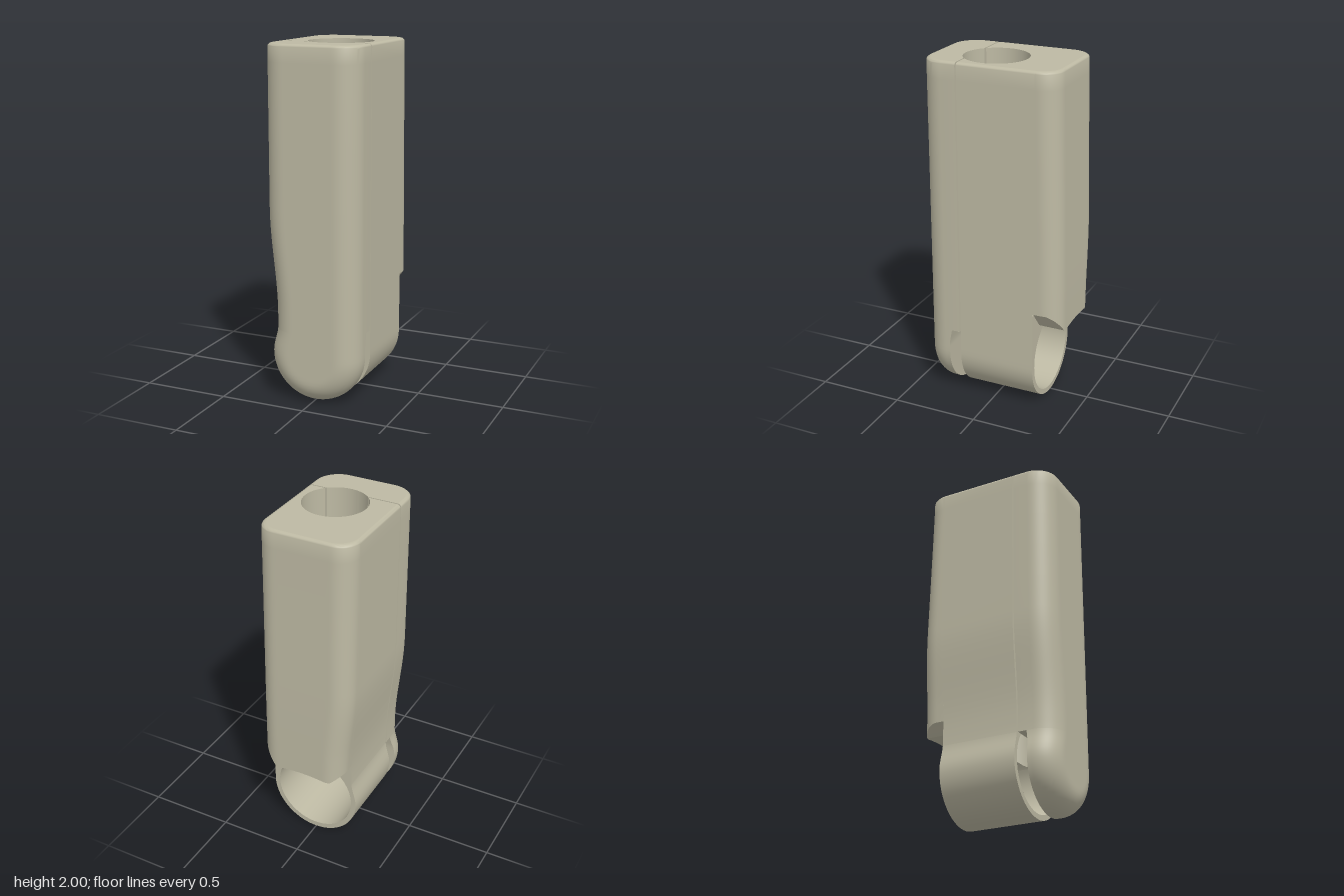
import * as THREE from 'three';
import { toCreasedNormals } from 'three/addons/utils/BufferGeometryUtils.js';

const CX = 0.005, CY = 0.27, R_OUT = 0.27, R_IN = 0.24;   // cross tube at the foot
const BX = 0.04, BZ = 0.06, BR = 0.183;                   // vertical bore
const FRONT = 0.415, SEAM_F = 0.195, SEAM_B = 0.187, STEP = -0.265;
const { lerp, smoothstep, clamp } = THREE.MathUtils;

// Small rounding along the top edge
const inset = y => y > 1.98 ? 0.02 - Math.sqrt(Math.max(0, 0.0004 - (y - 1.98) ** 2)) : 0;
const chord = y => Math.sqrt(Math.max(0, R_OUT ** 2 - (y - CY) ** 2));
// Side silhouettes
const xR = y => y < CY ? CX + chord(y) : 0.275 - inset(y);
const xL = y => y < CY ? CX - chord(y)
  : -0.265 + 0.029 * smoothstep(y, CY, 0.42) - 0.044 * smoothstep(y, 0.5, 1.1) + inset(y);
// Rounded drop towards the silhouette
function drop(x, y, r) {
  const d = y < CY ? R_OUT - Math.hypot(x - CX, y - CY) : Math.min(x - xL(y), xR(y) - x);
  const k = 1 - clamp(d / r, 0, 1);
  return r * (1 - Math.sqrt(1 - k * k));
}
const zFront = (x, y) => FRONT - inset(y) - drop(x, y, 0.13);
const zBack = (x, y) => lerp(-0.418, -0.385, smoothstep(y, 0.4, 2.4) * 1.12) + inset(y) + drop(x, y, 0.11);
// Inner edge of the front shell, cut back around the foot
const zInner = y => y > 0.41 ? SEAM_F : y > 0.33 ? lerp(0.26, 0.245, (y - 0.33) / 0.08) : 0.26;
// Lower edge of the rear overhang
const yUnder = x => 0.5 + (x > 0 ? 0.12 : 0.08) * clamp((Math.abs(x) - 0.17) / 0.1, 0, 1)
  + 0.015 * Math.max(0, 1 - (x / 0.17) ** 2);

// Heights of the loft sections
const rows = [];
for (let i = 0; i <= 16; i++) rows.push(CY * (1 - Math.cos(i / 16 * Math.PI / 2)));
rows.push(0.3, 0.33, 0.36, 0.385, 0.41, 0.4101);
for (let i = 1; i <= 14; i++) rows.push(0.41 + i * 0.05);
rows.push(1.3, 1.5, 1.7, 1.9);
for (let i = 0; i <= 6; i++) rows.push(1.98 + 0.02 * Math.sin(i / 6 * Math.PI / 2));

function grid(nu, nv, f) {
  const pos = [], idx = [];
  for (let j = 0; j <= nv; j++) for (let i = 0; i <= nu; i++) pos.push(...f(i, j));
  for (let j = 0; j < nv; j++) for (let i = 0; i < nu; i++) {
    const a = j * (nu + 1) + i, b = a + nu + 1;
    idx.push(a, a + 1, b, a + 1, b + 1, b);
  }
  const g = new THREE.BufferGeometry();
  g.setAttribute('position', new THREE.Float32BufferAttribute(pos, 3));
  g.setIndex(idx);
  return toCreasedNormals(g, 0.7);
}

// Horizontal section from the right wall round to the left wall
const N = 44;
function ringPoint(i, y, zFn, zEdge) {
  if (i === 0) return [xR(y), y, zEdge];
  if (i === N) return [xL(y), y, zEdge];
  const t = (1 + Math.cos(Math.PI * (i - 1) / (N - 2))) / 2;
  const x = lerp(xL(y), xR(y), t);
  return [x, y, zFn(x, y)];
}

// Flat horizontal plate with a piece of the bore cut out
function plate(y, outline, a0, a1) {
  const pts = outline.map(p => new THREE.Vector2(p[0], p[2]));
  for (let k = 0; k <= 36; k++) {
    const a = lerp(a0, a1, k / 36);
    pts.push(new THREE.Vector2(BX + BR * Math.cos(a), BZ + BR * Math.sin(a)));
  }
  return new THREE.ShapeGeometry(new THREE.Shape(pts)).rotateX(Math.PI / 2).translate(0, y, 0);
}

// Foot outline with the tube opening
function footFace(z, top) {
  const ys = rows.filter(y => y <= top);
  const pts = ys.map(y => new THREE.Vector2(xR(y), y));
  pts.push(...ys.slice(1).reverse().map(y => new THREE.Vector2(xL(y), y)));
  const s = new THREE.Shape(pts);
  s.holes.push(new THREE.Path().absarc(CX, CY, R_IN, 0, Math.PI * 2, true));
  return new THREE.ShapeGeometry(s, 32).translate(0, 0, z);
}

export function createModel() {
  const shell = new THREE.MeshStandardMaterial({ color: 0xbdb9a3, side: THREE.DoubleSide });
  shell.name = 'warm grey plastic';
  const model = new THREE.Group();
  model.name = 'housing';
  const front = new THREE.Group(), rear = new THREE.Group();
  front.name = 'frontShell';
  rear.name = 'rearShell';
  model.add(front, rear);
  const add = (group, name, geo) => {
    const m = new THREE.Mesh(geo, shell);
    m.name = name;
    group.add(m);
  };
  const last = rows.length - 1;
  const aF = Math.asin((SEAM_F - BZ) / BR), aB = Math.asin((SEAM_B - BZ) / BR);
  const ring = (y, zFn, zEdge) => Array.from({ length: N + 1 }, (_, i) => ringPoint(i, y, zFn, zEdge));

  // Front shell
  add(front, 'frontCover', grid(N, last, (i, j) => ringPoint(i, rows[j], zFront, zInner(rows[j]))));
  add(front, 'frontTop', plate(2, ring(2, zFront, SEAM_F), Math.PI - aF, aF));
  add(front, 'frontStep', plate(0.41, [[xR(0.41), 0, SEAM_F], [xR(0.41), 0, 0.26],
    [xL(0.41), 0, 0.26], [xL(0.41), 0, SEAM_F]], Math.PI - aF, aF));
  add(front, 'frontBore', grid(24, 1, (i, j) => {
    const a = lerp(aF, Math.PI - aF, i / 24);
    return [BX + BR * Math.cos(a), j ? 2 : 0.41, BZ + BR * Math.sin(a)];
  }));
  const capRows = rows.filter(y => y <= 0.41);
  add(front, 'footCap', grid(1, capRows.length - 1, (i, j) =>
    [i ? xR(capRows[j]) : xL(capRows[j]), capRows[j], zInner(Math.min(capRows[j], 0.41))]));

  // Mating faces on both sides of the seam
  for (const [group, z, y0, a] of [[front, SEAM_F, 0.41, aF], [rear, SEAM_B, 0.5, aB]]) {
    const ys = rows.filter(y => y > y0);
    for (const [side, edge, x] of [['Left', xR, BX + BR * Math.cos(a)], ['Right', xL, BX - BR * Math.cos(a)]])
      add(group, 'seamFace' + side, grid(1, ys.length - 1, (i, j) => [i ? x : edge(ys[j]), ys[j], z]));
  }

  // Rear shell side walls
  for (const [name, edge] of [['leftWall', xR], ['rightWall', xL]])
    add(rear, name, grid(1, last, (i, j) => [edge(rows[j]), rows[j], i ? STEP : SEAM_B]));

  // Rear overhang, whose rows start at the shaped lower edge
  const upper = rows.filter(y => y > 0.65);
  const overhang = (i, j) => {
    if (j > 0) return ringPoint(i, upper[j - 1], zBack, STEP);
    const x = ringPoint(i, 0.55, zBack, STEP)[0];
    return ringPoint(i, yUnder(x), zBack, STEP);
  };
  add(rear, 'backCover', grid(N, upper.length, overhang));
  add(rear, 'overhangUnderside', grid(N, 1, (i, j) => {
    const p = overhang(i, 0);
    return j ? p : [p[0], p[1], STEP];
  }));
  add(rear, 'rearTop', plate(2, ring(2, zBack, SEAM_B).map((p, i) =>
    i === 0 || i === N ? [p[0], 2, SEAM_B] : p), Math.PI - aB, 2 * Math.PI + aB));

  // Foot end faces
  add(rear, 'footBack', footFace(STEP, 0.63));
  add(rear, 'footFront', footFace(SEAM_B, 0.57));

  // Bore running down into the cross tube
  const tubeTop = x => CY + Math.sqrt(R_IN ** 2 - (x - CX) ** 2);
  add(rear, 'rearBore', grid(48, 1, (i, j) => {
    const a = lerp(Math.PI - aB, 2 * Math.PI + aB, i / 48), x = BX + BR * Math.cos(a);
    return [x, j ? 2 : tubeTop(x), BZ + BR * Math.sin(a)];
  }));

  // Tube wall, open where the bore enters
  const t0 = Math.asin((BX - BR - CX) / R_IN), t1 = Math.asin((BX + BR - CX) / R_IN);
  const onTube = (t, z) => [CX + R_IN * Math.sin(t), CY + R_IN * Math.cos(t), z];
  add(rear, 'tubeWall', grid(48, 1, (i, j) =>
    onTube(lerp(t1, t0 + 2 * Math.PI, i / 48), j ? SEAM_B : STEP)));
  for (const dir of [-1, 1])
    add(rear, dir < 0 ? 'tubeRoofBack' : 'tubeRoofFront', grid(32, 1, (i, j) => {
      const t = lerp(t0, t1, i / 32), x = CX + R_IN * Math.sin(t);
      const z = BZ + dir * Math.sqrt(Math.max(0, BR ** 2 - (x - BX) ** 2));
      return onTube(t, j ? (dir < 0 ? STEP : SEAM_B) : Math.min(z, SEAM_B));
    }));
  return model;
}
